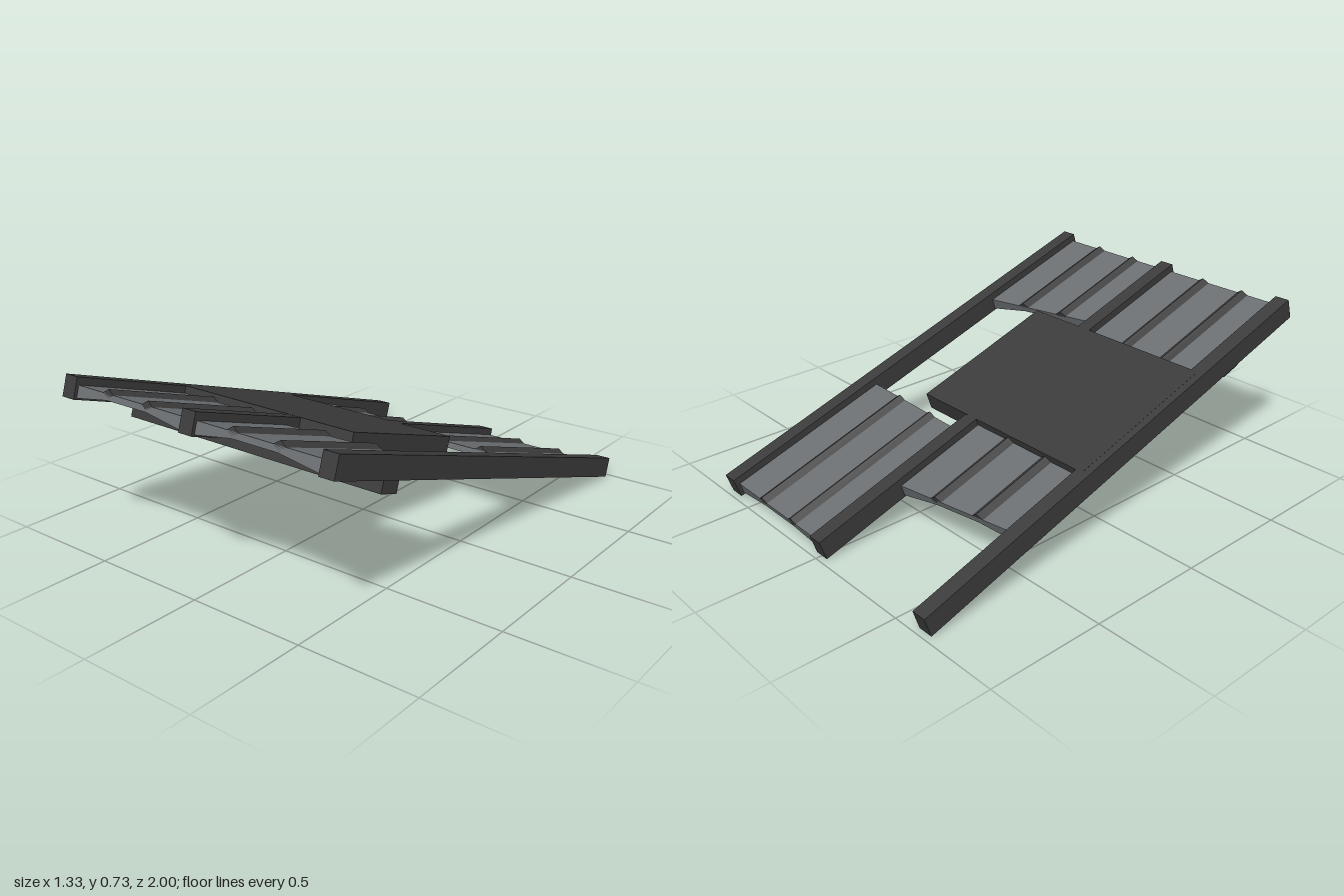
import * as THREE from 'three';

const dark = new THREE.MeshStandardMaterial({ color: 0x3c3c3c, flatShading: true });
const sheetGrey = new THREE.MeshStandardMaterial({ color: 0x6c7073, flatShading: true });

// Extrudes an x/y outline lengthwise; each end is cut along a straight line in x.
function cutExtrusion(points, frontZ, backZ) {
  const shape = new THREE.Shape(points.map(([x, y]) => new THREE.Vector2(x, y)));
  const geometry = new THREE.ExtrudeGeometry(shape, { depth: 1, bevelEnabled: false });
  const p = geometry.attributes.position;
  for (let i = 0; i < p.count; i++) {
    p.setZ(i, THREE.MathUtils.lerp(backZ(p.getX(i)), frontZ(p.getX(i)), p.getZ(i)));
  }
  geometry.computeVertexNormals();
  return geometry;
}

function addMesh(parent, name, geometry, material) {
  const mesh = new THREE.Mesh(geometry, material);
  mesh.name = name;
  parent.add(mesh);
  return mesh;
}

// Box given by its lower and upper limits on each axis
function addBox(parent, name, [x0, x1], [y0, y1], [z0, z1]) {
  const mesh = addMesh(parent, name, new THREE.BoxGeometry(x1 - x0, y1 - y0, z1 - z0), dark);
  mesh.position.set((x0 + x1) / 2, (y0 + y1) / 2, (z0 + z1) / 2);
}

// Roof sheet: flat top, arched underside, two diamond ribs.
// front and back hold the end position at the bay's low-x and high-x side.
function addSheet(parent, name, x0, front, back) {
  const x1 = x0 + 0.57;
  const r0 = x0 + 0.17, r1 = x0 + 0.382;
  const line = ([a, b]) => (x) => a + (b - a) * (x - x0) / (x1 - x0);
  const sheet = new THREE.Group();
  sheet.name = name;
  parent.add(sheet);
  const outline = [[x0, -0.038], [r0, -0.012], [r1, -0.012], [x1, -0.038], [x1, 0.013], [x0, 0.013]];
  addMesh(sheet, 'sheetPanel', cutExtrusion(outline, line(front), line(back)), sheetGrey);
  for (const x of [r0, r1]) {
    const diamond = [[x - 0.029, 0.012], [x, -0.008], [x + 0.029, 0.012], [x, 0.031]];
    addMesh(sheet, 'rib', cutExtrusion(diamond, line(front), line(back)), dark);
  }
}

export function createModel() {
  const model = new THREE.Group();
  model.name = 'brokenRoof';

  // Everything is built level, then tilted up towards the front
  const roof = new THREE.Group();
  roof.name = 'slopedRoof';
  roof.rotation.x = -0.316;
  roof.position.y = 0.364;
  model.add(roof);

  // Three long beams
  for (const x of [-0.632, 0, 0.632]) {
    addBox(roof, 'beam', [x - 0.0325, x + 0.0325], [-0.044, 0.044], [-1.0365, 1.0365]);
  }

  // Cross bar under the front end
  addBox(roof, 'crossBar', [-0.62, 0.632], [-0.1, -0.01], [0.626, 0.719]);

  // Patch board over the middle
  addBox(roof, 'patchBoard', [-0.632, 0.292], [-0.032, 0.0446], [-0.217, 0.467]);

  // Roof sheets with broken, slanted ends
  addSheet(roof, 'rightSheet', -0.602, [1.023, 1.023], [-0.564, -0.638]);
  addSheet(roof, 'leftFrontSheet', 0.031, [1.023, 1.023], [0.546, 0.457]);
  addSheet(roof, 'leftBackSheet', 0.031, [-0.285, -0.27], [-1.02, -1.02]);

  return model;
}
